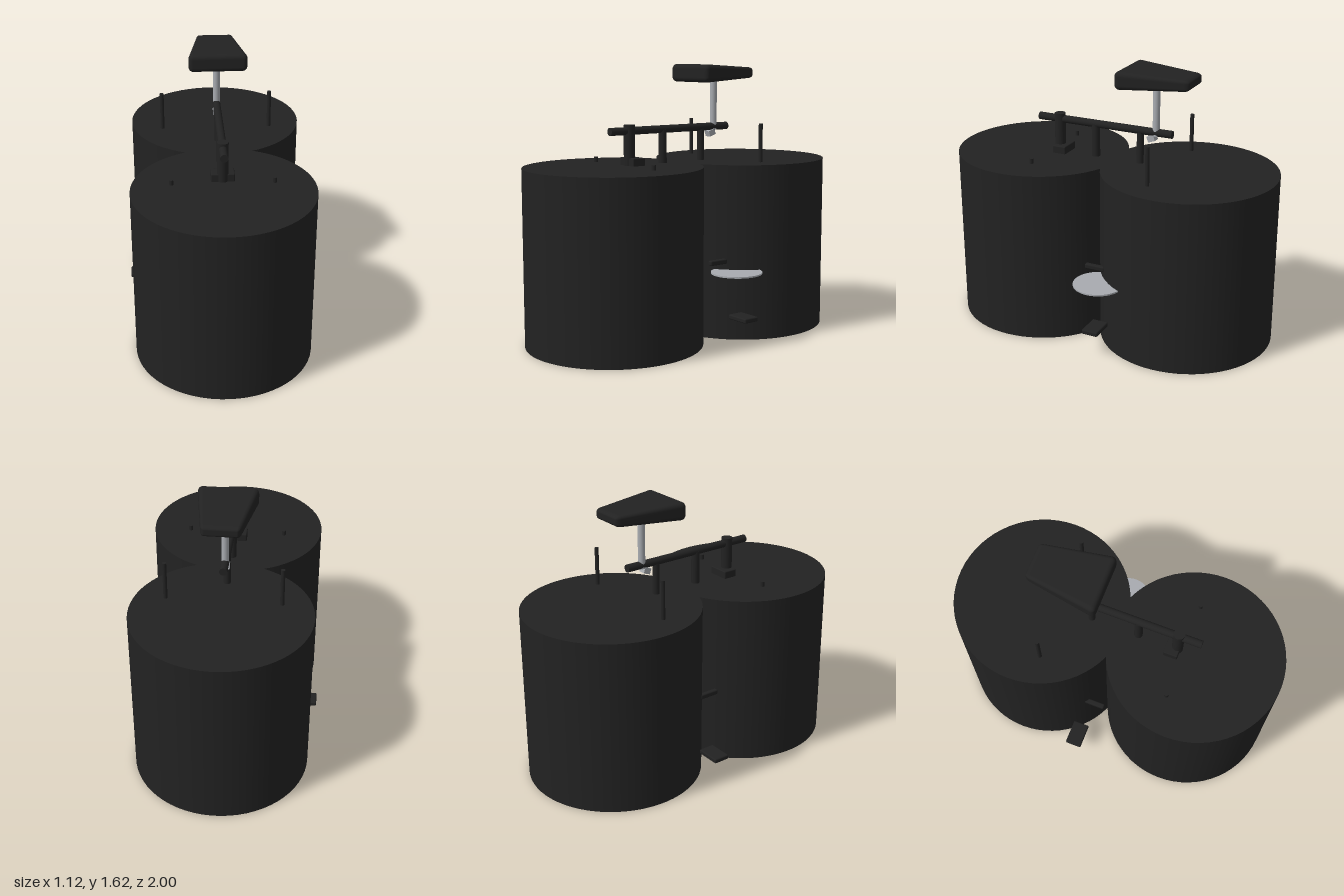
import * as THREE from 'three';
import { mergeVertices } from 'three/addons/utils/BufferGeometryUtils.js';
import { RoundedBoxGeometry } from 'three/addons/geometries/RoundedBoxGeometry.js';

const CX = -0.01; // centre plane of the bike

export function createModel() {
  const group = new THREE.Group();
  const black = new THREE.MeshStandardMaterial({ color: 0x222222 });
  black.name = 'black';
  const silver = new THREE.MeshStandardMaterial({ color: 0xa8abb0 });
  silver.name = 'silver';

  const add = (name, geometry, material, x, y, z) => {
    const mesh = new THREE.Mesh(geometry, material);
    mesh.name = name;
    mesh.position.set(x, y, z);
    group.add(mesh);
    return mesh;
  };
  // upright cylinder between two heights
  const post = (name, r, y0, y1, x, z, material = black, sides = 24) =>
    add(name, new THREE.CylinderGeometry(r, r, y1 - y0, sides), material, x, (y0 + y1) / 2, z);

  // two wide drum wheels
  post('frontDrum', 0.52, 0, 1.04, CX, 0.48, black, 64);
  post('rearDrum', 0.52, 0, 1.04, CX, -0.48, black, 64);

  // frame: top tube on three uprights
  const topTube = add('topTube', new THREE.CylinderGeometry(0.023, 0.023, 0.87, 20), black, CX, 1.24, 0.067);
  topTube.rotation.x = Math.PI / 2;
  post('headTube', 0.033, 1.0, 1.275, CX, 0.365);
  post('downTube', 0.025, 1.0, 1.24, CX, 0.125);
  post('seatTube', 0.021, 1.0, 1.24, CX, -0.165);
  add('forkCrown', new RoundedBoxGeometry(0.135, 0.06, 0.085, 2, 0.006), black, CX, 1.055, 0.343);

  // seat post and clamp
  post('seatPost', 0.021, 1.22, 1.54, CX, -0.265, silver);
  const clamp = add('seatClamp', new THREE.BoxGeometry(0.045, 0.035, 0.045), silver, CX, 1.203, -0.24);
  clamp.rotation.x = 0.35;

  // saddle: rounded block narrowing towards the back
  let saddle = new RoundedBoxGeometry(0.35, 0.11, 0.43, 5, 0.03);
  const p = saddle.attributes.position;
  for (let i = 0; i < p.count; i++) {
    const t = p.getZ(i) / 0.43 + 0.5;
    p.setX(i, p.getX(i) * (0.6 + 0.4 * t));
    p.setY(i, p.getY(i) * (0.56 + 0.44 * t));
  }
  saddle.deleteAttribute('normal');
  saddle.deleteAttribute('uv');
  saddle = mergeVertices(saddle);
  saddle.computeVertexNormals();
  add('saddle', saddle, black, CX, 1.565, -0.285);

  // mirrored pins, cranks and pedals
  for (const s of [-1, 1]) {
    post('frontPin', 0.012, 1.0, 1.07, CX + s * 0.29, 0.405, black, 16);
    post('rearStay', 0.012, 1.0, 1.27, CX + s * 0.33, -0.357, black, 16);
    add('crankArm', new RoundedBoxGeometry(0.03, 0.03, 0.125, 2, 0.008), black, CX + s * 0.33, 0.472, -0.03);
    add('pedal', new RoundedBoxGeometry(0.15, 0.028, 0.1, 2, 0.008), black, CX + s * 0.478, 0.157, -0.1);
  }

  // flat sprocket disc
  post('sprocket', 0.15, 0.413, 0.422, 0.41, -0.097, silver, 48);

  return group;
}
